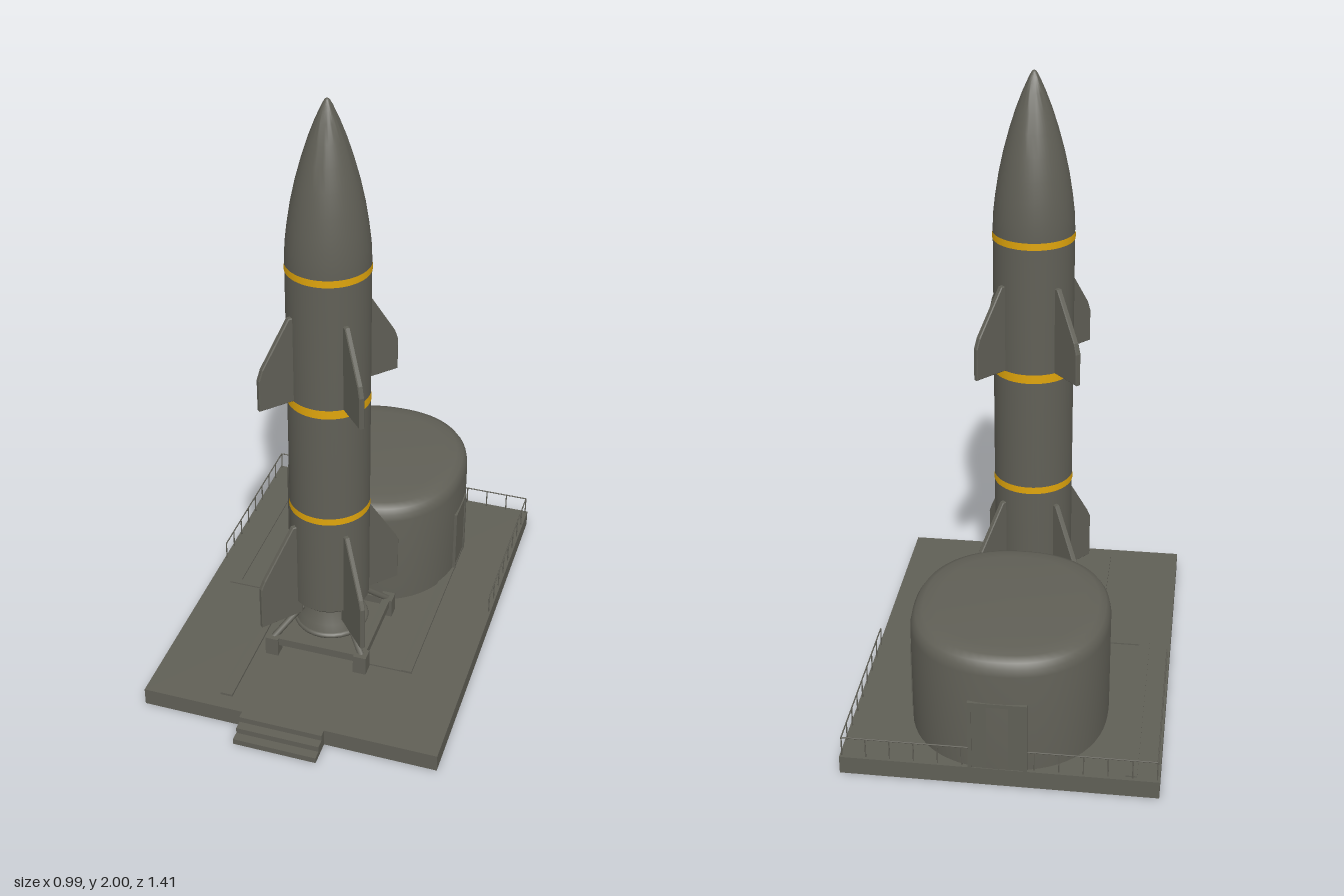
import * as THREE from 'three';
import { mergeVertices, toCreasedNormals } from 'three/addons/utils/BufferGeometryUtils.js';

const olive = new THREE.MeshStandardMaterial({ color: 0x605f56 });
olive.name = 'olive grey';
const yellow = new THREE.MeshStandardMaterial({ color: 0xe0a50c });
yellow.name = 'band yellow';

function add(parent, name, geometry, material = olive, x = 0, y = 0, z = 0) {
  const mesh = new THREE.Mesh(geometry, material);
  mesh.name = name;
  mesh.position.set(x, y, z);
  parent.add(mesh);
  return mesh;
}

// Box given by its min and max corners
function block(parent, name, x0, x1, y0, y1, z0, z1) {
  return add(parent, name, new THREE.BoxGeometry(x1 - x0, y1 - y0, z1 - z0), olive,
    (x0 + x1) / 2, (y0 + y1) / 2, (z0 + z1) / 2);
}

// Round bar between two points
function bar(parent, name, a, b, r, sides = 6) {
  const from = new THREE.Vector3(...a), dir = new THREE.Vector3(...b).sub(from);
  const mesh = add(parent, name, new THREE.CylinderGeometry(r, r, dir.length(), sides));
  mesh.position.copy(from).addScaledVector(dir, 0.5);
  mesh.quaternion.setFromUnitVectors(new THREE.Vector3(0, 1, 0), dir.normalize());
}

function lathe(points, segments = 48) {
  const geo = new THREE.LatheGeometry(points.map(([r, y]) => new THREE.Vector2(r, y)), segments);
  return toCreasedNormals(geo, 0.6);
}

function makePad() {
  const pad = new THREE.Group();
  pad.name = 'launchPad';
  const x0 = -0.495, x1 = 0.493, z0 = -0.705, z1 = 0.62, t = 0.006;
  // Deck over a hollow underside with thin skirt walls
  block(pad, 'deck', x0, x1, 0.052, 0.06, z0, z1);
  block(pad, 'skirtWall', x0, x0 + t, 0, 0.052, z0, z1);
  block(pad, 'skirtWall', x1 - t, x1, 0, 0.052, z0, z1);
  block(pad, 'skirtWall', x0 + t, x1 - t, 0, 0.052, z0, z0 + t);
  block(pad, 'skirtWall', x0 + t, x1 - t, 0, 0.052, z1 - t, z1);
  // Front steps
  [0.705, 0.675, 0.645].forEach((z, i) =>
    block(pad, 'frontStep', -0.155, 0.122, i * 0.02, (i + 1) * 0.02, 0.616, z));
  // Cable channels let into the deck
  const channels = [
    [-0.25, -0.21, 0.068, -0.085, 0.565], [-0.425, -0.39, 0.065, -0.69, 0.025],
    [-0.39, -0.25, 0.065, 0.005, 0.025], [0.28, 0.315, 0.068, -0.42, 0.285],
    [0.17, 0.28, 0.065, 0.265, 0.285],
  ];
  for (const [a, b, top, c, d] of channels) block(pad, 'cableChannel', a, b, 0.05, top, c, d);
  return pad;
}

function makeRailing() {
  const rail = new THREE.Group();
  rail.name = 'railing';
  const left = 0.486, right = -0.487, back = -0.694, front = -0.1, top = 0.126, r = 0.0022;
  for (const x of [left, right]) {
    bar(rail, 'sideRail', [x, top, back], [x, top, front], r);
    for (let i = 0; i <= 8; i++) {
      const z = back + (front - back) * i / 8;
      bar(rail, 'railPost', [x, 0.06, z], [x, top, z], r);
    }
  }
  bar(rail, 'backRail', [right, top, back], [left, top, back], r);
  for (let i = 1; i < 13; i++) {
    const x = right + (left - right) * i / 13;
    bar(rail, 'railPost', [x, 0.06, back], [x, top, back], r);
  }
  return rail;
}

function makeBunker() {
  const bunker = new THREE.Group();
  bunker.name = 'bunker';
  bunker.position.set(0, 0, -0.368);
  const profile = [[1, 0.055], [1, 0.4], [0.985, 0.423], [0.95, 0.44], [0.88, 0.451], [0.75, 0.456], [0, 0.457]];
  const raw = new THREE.LatheGeometry(profile.map(([r, y]) => new THREE.Vector2(r, y)), 64);
  // Squash the round plan into a soft-cornered square
  const p = raw.attributes.position, n = 2.28;
  for (let i = 0; i < p.count; i++) {
    const x = p.getX(i), z = p.getZ(i), r = Math.hypot(x, z);
    if (r < 1e-6) continue;
    const k = (Math.abs(x / r) ** n + Math.abs(z / r) ** n) ** (-1 / n);
    p.setX(i, x * k * 0.313);
    p.setZ(i, z * k * 0.335);
  }
  raw.deleteAttribute('uv');
  raw.deleteAttribute('normal');
  add(bunker, 'bunkerShell', toCreasedNormals(mergeVertices(raw, 1e-4), 0.9));
  // Framed doors on the left and the back, w is half the width
  const makeDoor = (name, w) => {
    const door = new THREE.Group();
    door.name = name;
    block(door, 'doorPanel', -w, w, 0.06, 0.292, -0.03, 0);
    for (const s of [-1, 1]) block(door, 'doorJamb', s * w - 0.006, s * w + 0.006, 0.06, 0.3, -0.04, 0.004);
    block(door, 'doorLintel', -w - 0.006, w + 0.006, 0.289, 0.302, -0.04, 0.004);
    bunker.add(door);
    return door;
  };
  const side = makeDoor('leftDoor', 0.063);
  side.position.set(0.313, 0, 0.013);
  side.rotation.y = Math.PI / 2;
  const back = makeDoor('backDoor', 0.085);
  back.position.z = -0.334;
  back.rotation.y = Math.PI;
  return bunker;
}

function makeFin(points) {
  const shape = new THREE.Shape(points.map(([r, y]) => new THREE.Vector2(r, y)));
  const geo = new THREE.ExtrudeGeometry(shape, {
    depth: 0.012, bevelEnabled: true, bevelThickness: 0.003, bevelSize: 0.003, bevelOffset: -0.003, bevelSegments: 1,
  });
  return geo.translate(0, 0, -0.006);
}

function makeRocket() {
  const rocket = new THREE.Group();
  rocket.name = 'rocket';
  add(rocket, 'rocketBody', lathe([
    [0, 0.24], [0.115, 0.24], [0.13, 0.255], [0.13, 1.5], [0.128, 1.55], [0.121, 1.61], [0.11, 1.68],
    [0.095, 1.75], [0.076, 1.82], [0.057, 1.88], [0.036, 1.935], [0.016, 1.98], [0.007, 1.996], [0, 2],
  ]));
  // Flared engine bell, open at the bottom
  add(rocket, 'engineBell', lathe([
    [0, 0.23], [0.055, 0.22], [0.108, 0.14], [0.118, 0.14], [0.106, 0.175], [0.082, 0.22], [0.078, 0.25],
  ], 32));
  // Painted bands
  for (const [y, h] of [[0.624, 0.024], [1.03, 0.03], [1.48, 0.023]]) {
    add(rocket, 'paintedBand', new THREE.CylinderGeometry(0.132, 0.132, h, 48, 1, true), yellow, 0, y, 0);
  }
  // Diagonal fins, four above and four below, set slightly towards front and back
  const upper = makeFin([[0.11, 1.043], [0.247, 1.043], [0.247, 1.15], [0.235, 1.185], [0.142, 1.335], [0.11, 1.335]]);
  const lower = makeFin([[0.11, 0.2], [0.264, 0.197], [0.264, 0.355], [0.25, 0.385], [0.142, 0.56], [0.11, 0.56]]);
  const spread = THREE.MathUtils.degToRad(48.5);
  for (const a of [spread, -spread, Math.PI - spread, Math.PI + spread]) {
    add(rocket, 'upperFin', upper).rotation.y = a;
    add(rocket, 'lowerFin', lower).rotation.y = a;
  }
  return rocket;
}

function makeStand() {
  const stand = new THREE.Group();
  stand.name = 'launchStand';
  const c = 0.153;
  for (const s of [-1, 1]) {
    // Square frame of beams
    block(stand, 'frameBeam', -c, c, 0.1, 0.128, s * c - 0.013, s * c + 0.013);
    block(stand, 'frameBeam', s * c - 0.013, s * c + 0.013, 0.1, 0.128, -c, c);
    for (const t of [-1, 1]) {
      // Corner feet, and struts up to the engine
      block(stand, 'cornerFoot', s * c - 0.022, s * c + 0.022, 0.06, 0.128, t * c - 0.022, t * c + 0.022);
      bar(stand, 'strut', [s * c, 0.12, t * c], [s * 0.075, 0.215, t * 0.075], 0.011, 8);
    }
  }
  const ring = add(stand, 'supportRing', new THREE.TorusGeometry(0.116, 0.01, 8, 32), olive, 0, 0.14, 0);
  ring.rotation.x = Math.PI / 2;
  return stand;
}

export function createModel() {
  const model = new THREE.Group();
  model.name = 'rocketLaunchSite';
  const rocket = makeRocket(), stand = makeStand();
  rocket.position.set(-0.005, 0, 0.163);
  stand.position.set(-0.003, 0, 0.16);
  model.add(makePad(), makeRailing(), makeBunker(), rocket, stand);
  return model;
}
